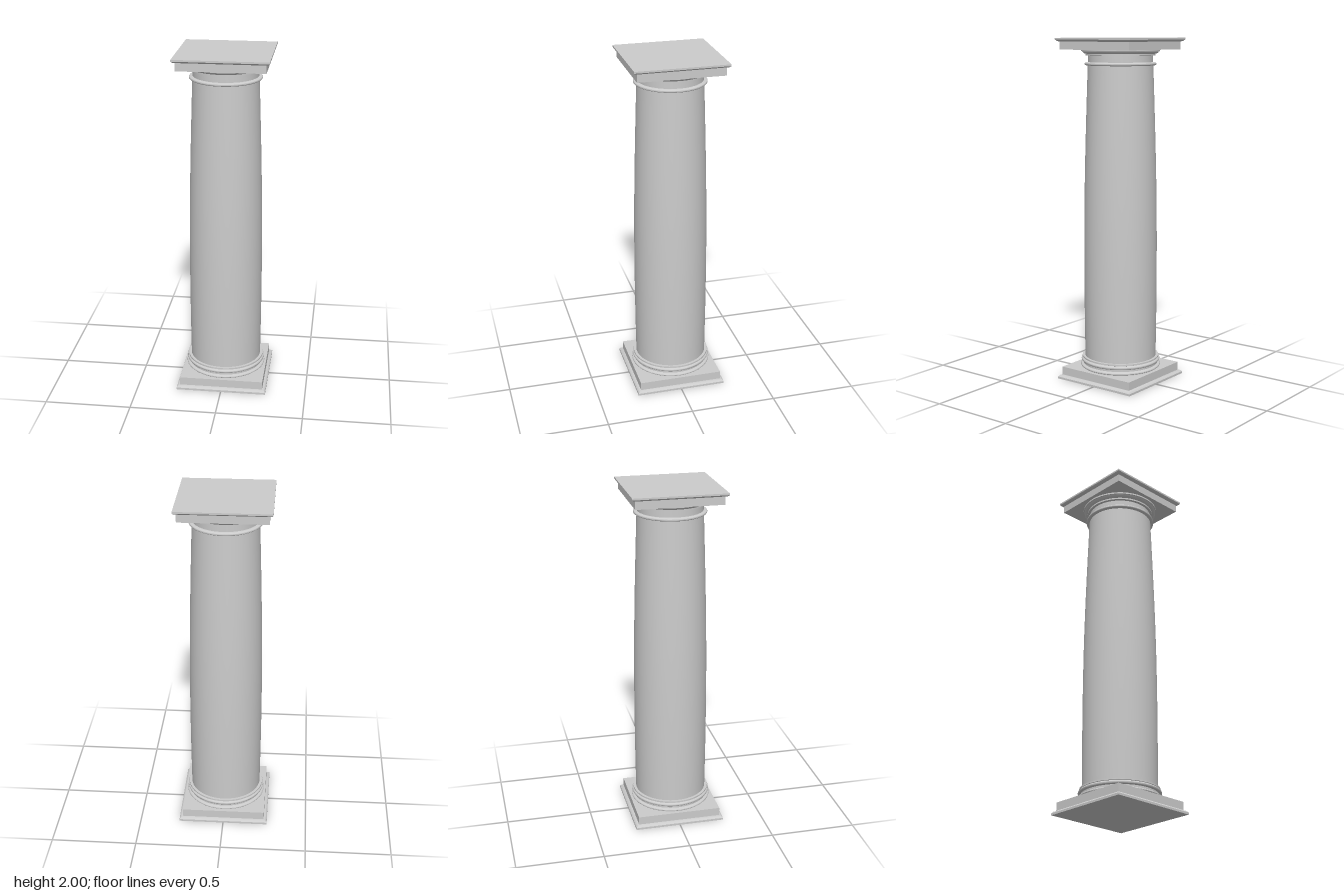
import * as THREE from 'three';
import { toCreasedNormals } from 'three/addons/utils/BufferGeometryUtils.js';

const material = new THREE.MeshStandardMaterial({ color: 0xcccccc });

// Revolve a profile of [radius, height] pairs, listed from bottom to top.
function turned(name, profile, segments = 64) {
  const points = profile.map(([r, y]) => new THREE.Vector2(r, y));
  const geometry = toCreasedNormals(new THREE.LatheGeometry(points, segments), 0.6);
  const mesh = new THREE.Mesh(geometry, material);
  mesh.name = name;
  return mesh;
}

// Square moulding: four-sided turning with half widths instead of radii.
function squared(name, profile) {
  const points = profile.map(([h, y]) => new THREE.Vector2(h * Math.SQRT2, y));
  const geometry = new THREE.LatheGeometry(points, 4, Math.PI / 4);
  const mesh = new THREE.Mesh(toCreasedNormals(geometry, 0.6), material);
  mesh.name = name;
  return mesh;
}

// Rounded bulge from y0 to y1, swelling from radius r by depth d.
function bulge(r, d, y0, y1, steps = 8) {
  return Array.from({ length: steps + 1 }, (_, i) => {
    const a = Math.PI * (i / steps - 0.5);
    return [r + d * Math.cos(a), (y0 + y1) / 2 + Math.sin(a) * (y1 - y0) / 2];
  });
}

export function createModel() {
  const column = new THREE.Group();
  column.name = 'column';

  // Square plinth with a projecting foot
  column.add(squared('plinth', [
    [0, 0], [0.265, 0], [0.265, 0.012], [0.258, 0.02], [0.246, 0.024],
    [0.246, 0.072], [0, 0.072],
  ]));

  // Round base mouldings
  column.add(turned('baseMoulding', [
    [0, 0.07], [0.225, 0.07], [0.225, 0.074],
    ...bulge(0.225, 0.011, 0.076, 0.092),
    [0.22, 0.094], [0.22, 0.104],
    ...bulge(0.22, 0.012, 0.106, 0.128),
    [0.225, 0.13], [0.225, 0.139], [0, 0.139],
  ]));

  // Shaft with a gentle swelling towards the lower third
  const outline = new THREE.SplineCurve([
    [0.209, 0.13], [0.212, 0.4], [0.213, 0.7], [0.211, 1.0],
    [0.205, 1.3], [0.196, 1.6], [0.187, 1.86],
  ].map(([r, y]) => new THREE.Vector2(r, y)));
  column.add(turned('shaft', outline.getPoints(24).map((p) => [p.x, p.y])));

  // Neck ring, neck and stepped capital mouldings
  column.add(turned('neckRing', [
    [0.18, 1.844], ...bulge(0.195, 0.011, 1.845, 1.863), [0.18, 1.864],
  ]));
  column.add(turned('capitalMoulding', [
    [0.186, 1.855], [0.186, 1.9], [0.2, 1.902], [0.2, 1.911],
    [0.207, 1.912], [0.214, 1.917], [0.219, 1.924],
    [0.225, 1.925], [0.225, 1.937], [0, 1.937],
  ]));

  // Square abacus with a projecting top edge
  column.add(squared('abacus', [
    [0, 1.934], [0.246, 1.934], [0.246, 1.979], [0.256, 1.982],
    [0.265, 1.99], [0.265, 2], [0, 2],
  ]));

  return column;
}
